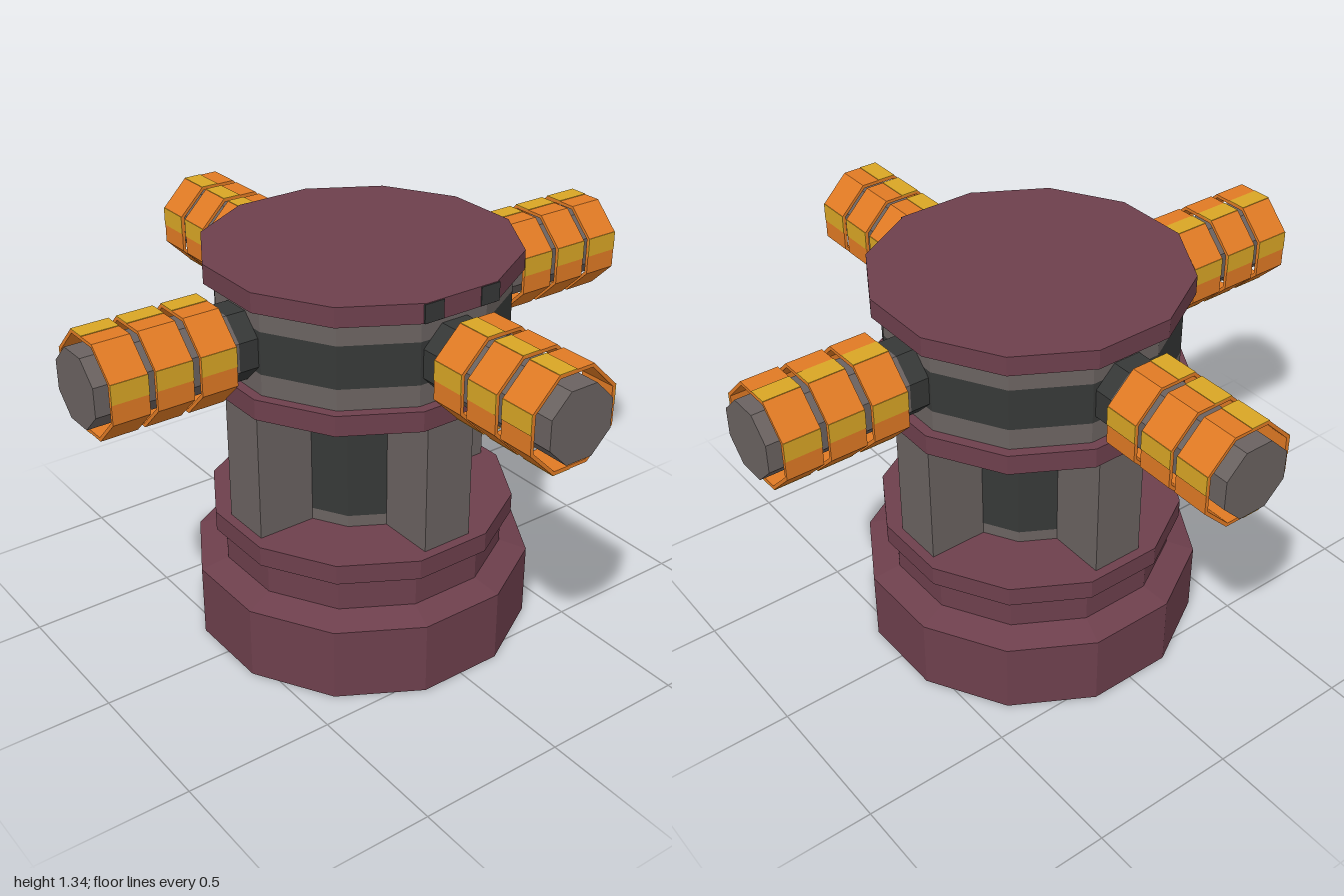
import * as THREE from 'three';

const mat = (name, color) => {
  const m = new THREE.MeshStandardMaterial({ color });
  m.name = name;
  return m;
};

export function createModel() {
  const maroon = mat('maroon', 0x6d3f4c);
  const grey = mat('grey', 0x6a6260);
  const dark = mat('charcoal', 0x363837);
  const orange = mat('orange', 0xe07a24);
  const yellow = mat('yellow', 0xd9a625);

  const model = new THREE.Group();
  model.name = 'turret';

  // Faceted mesh added to a parent
  const add = (parent, name, geometry, material) => {
    const geo = geometry.index ? geometry.toNonIndexed() : geometry;
    geo.computeVertexNormals();
    const mesh = new THREE.Mesh(geo, material);
    mesh.name = name;
    parent.add(mesh);
    return mesh;
  };

  // Prism with flat sides on the axes; sizes are centre-to-flat distances
  const prism = (sides, bottom, top, from, to, open = false) => {
    const k = 1 / Math.cos(Math.PI / sides);
    return new THREE.CylinderGeometry(top * k, bottom * k, to - from, sides, 1, open, Math.PI / sides)
      .translate(0, (from + to) / 2, 0);
  };

  // Twelve-sided stack: name, material, bottom size, top size, bottom y, top y
  const stack = [
    ['foot', maroon, 0.55, 0.55, 0, 0.25],
    ['footBevel', maroon, 0.55, 0.46, 0.25, 0.278],
    ['plinth', maroon, 0.46, 0.46, 0.278, 0.396],
    ['lowerRim', maroon, 0.493, 0.493, 0.396, 0.463],
    ['coreFooting', grey, 0.27, 0.27, 0.463, 0.503],
    ['core', dark, 0.27, 0.27, 0.503, 0.856],
    ['coreLintel', grey, 0.27, 0.27, 0.856, 0.922],
    ['upperRim', maroon, 0.493, 0.493, 0.922, 0.99],
    ['headLower', grey, 0.46, 0.46, 0.99, 1.06],
    ['headBand', dark, 0.46, 0.46, 1.06, 1.2],
    ['headUpper', grey, 0.46, 0.46, 1.2, 1.273],
    ['cap', maroon, 0.493, 0.493, 1.273, 1.337],
  ];
  for (const [name, material, bottom, top, y0, y1] of stack) {
    add(model, name, prism(12, bottom, top, y0, y1), material);
  }

  // Small dark slots on the cap's edge
  for (const z of [-0.105, 0.105]) {
    add(model, 'capSlot', new THREE.BoxGeometry(0.006, 0.06, 0.07).translate(0.493, 1.305, z), dark);
  }

  // Octagon outline used for the sleeves
  const octagon = (Type, size) => {
    const r = size / Math.cos(Math.PI / 8);
    const points = [];
    for (let i = 0; i < 8; i++) {
      const a = (i + 0.5) * Math.PI / 4;
      points.push(new THREE.Vector2(r * Math.cos(a), r * Math.sin(a)));
    }
    return new Type(points);
  };
  const size = 0.153;
  const half = size * Math.tan(Math.PI / 8);
  const length = 0.12;
  const sleeveShape = octagon(THREE.Shape, size);
  sleeveShape.holes.push(octagon(THREE.Path, 0.142));

  for (let i = 0; i < 4; i++) {
    const side = i < 2 ? -1 : 1;
    const quarter = new THREE.Group();
    quarter.name = 'quarter';
    quarter.rotation.y = i * Math.PI / 2;
    model.add(quarter);

    // Pillar around the core
    add(quarter, 'pillar', new THREE.BoxGeometry(0.178, 0.459, 0.24).translate(0, 0.6925, 0.34), grey);

    // Barrel pointing outward
    const barrel = new THREE.Group();
    barrel.name = 'barrel';
    barrel.position.y = 1.128;
    quarter.add(barrel);
    add(barrel, 'collar', prism(8, 0.113, 0.113, 0.4, 0.525).rotateX(Math.PI / 2), dark);
    add(barrel, 'barrelTube', prism(8, 0.113, 0.113, 0.525, 1).rotateX(Math.PI / 2), grey);

    // Three open sleeves with yellow stripes
    for (const z of [0.558, 0.704, 0.848]) {
      add(barrel, 'sleeve', new THREE.ExtrudeGeometry(sleeveShape, { depth: length, bevelEnabled: false })
        .translate(0, 0, z), orange);
      const mid = z + length / 2;
      for (const s of [-1, 1]) {
        add(barrel, 'sideStripe', new THREE.BoxGeometry(0.004, half, length)
          .translate(s * size, half / 2, mid), yellow);
        add(barrel, s > 0 ? 'topStripe' : 'bottomStripe', new THREE.BoxGeometry(half, 0.004, length)
          .translate(side * half / 2, s * size, mid), yellow);
      }
    }
  }
  return model;
}
